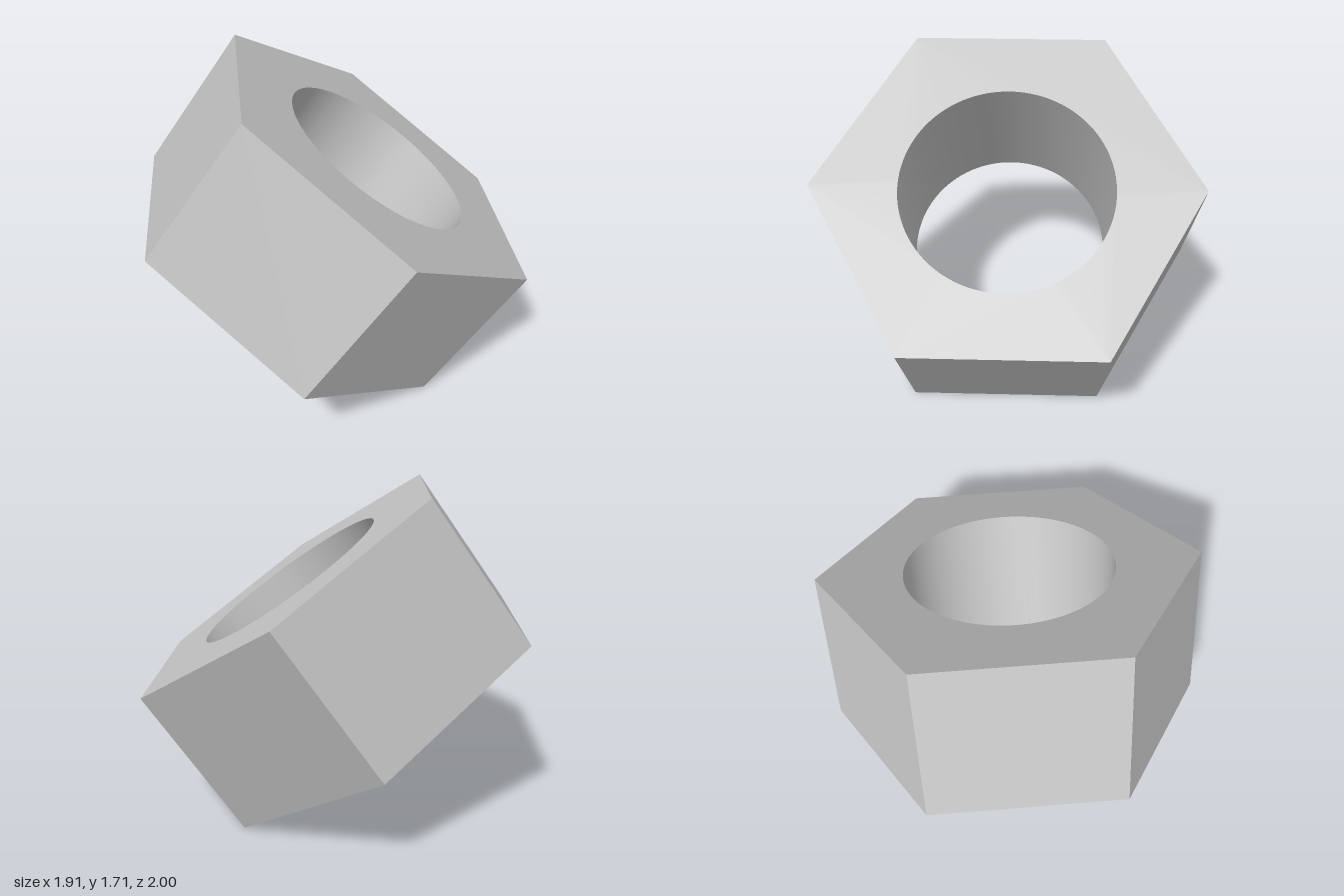
import * as THREE from 'three';
import { toCreasedNormals } from 'three/addons/utils/BufferGeometryUtils.js';

const RADIUS = 1;                       // centre to corner
const THICKNESS = Math.sqrt(3) / 2;
const BORE = 0.547;
const TILT = Math.atan(Math.SQRT1_2);   // lean toward +x

export function createModel() {
  const model = new THREE.Group();
  model.name = 'tiltedHexNut';

  const steel = new THREE.MeshStandardMaterial({ color: 0xc0c0c0 });
  steel.name = 'light grey';

  // Hexagon outline with corners at the front and back
  const corners = [];
  for (let i = 0; i < 6; i++) {
    const a = Math.PI / 2 + (i * Math.PI) / 3;
    corners.push(new THREE.Vector2(RADIUS * Math.cos(a), RADIUS * Math.sin(a)));
  }
  const outline = new THREE.Shape(corners);

  // Round bore through the middle
  const bore = new THREE.Path();
  bore.absarc(0, 0, BORE, 0, Math.PI * 2, true);
  outline.holes.push(bore);

  const solid = new THREE.ExtrudeGeometry(outline, {
    depth: THICKNESS, bevelEnabled: false, curveSegments: 48,
  });
  solid.translate(0, 0, -THICKNESS / 2);
  solid.rotateX(-Math.PI / 2);

  // Smooth bore, sharp outer edges
  const nut = new THREE.Mesh(toCreasedNormals(solid, 0.5), steel);
  nut.name = 'hexNut';
  nut.rotation.z = -TILT;
  nut.position.y = RADIUS * Math.sqrt(3) / 2 * Math.sin(TILT) + THICKNESS / 2 * Math.cos(TILT);
  model.add(nut);

  return model;
}
